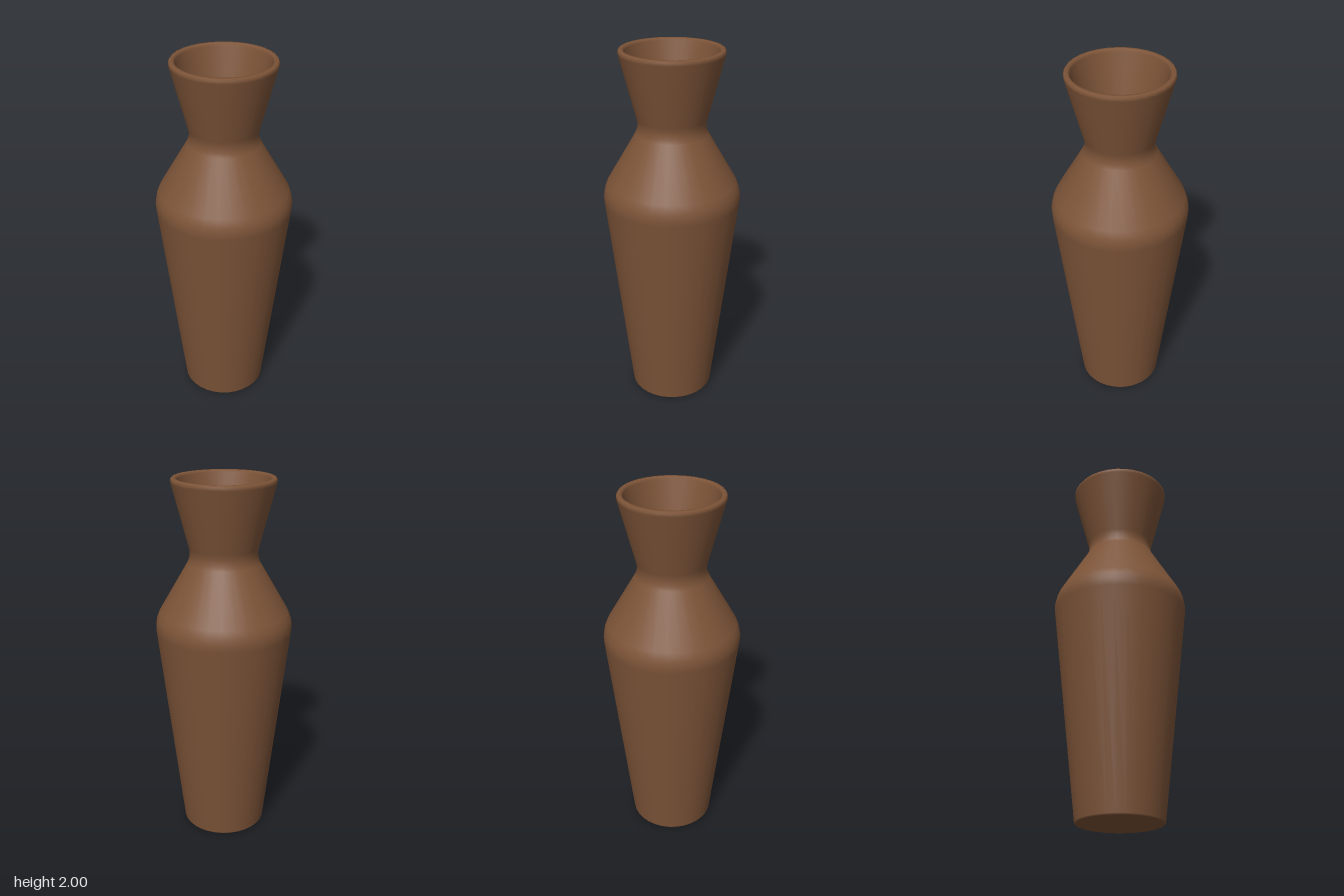
import * as THREE from 'three';

const SIDES = 32;

// Closed profile [radius, height]: base, outer wall, lip, inner wall, floor
const PROFILE = [
  // base and tapered body
  [0, 0], [0.225, 0], [0.232, 0.008], [0.368, 1.18],
  // rounded shoulder
  [0.37, 1.215], [0.364, 1.25], [0.348, 1.29],
  // neck
  [0.194, 1.555], [0.184, 1.58], [0.18, 1.61], [0.186, 1.64],
  // flared lip
  [0.273, 1.975], [0.274, 1.99], [0.267, 2], [0.25, 2], [0.242, 1.987],
  // inside of the neck
  [0.154, 1.64], [0.147, 1.61], [0.153, 1.58], [0.163, 1.555],
  // inside of the body and floor
  [0.317, 1.285], [0.334, 1.245], [0.337, 1.19], [0.2, 0.04], [0, 0.04],
];

export function createModel() {
  const group = new THREE.Group();
  group.name = 'vase';

  const points = PROFILE.map(([r, y]) => new THREE.Vector2(r, y));
  const clay = new THREE.MeshStandardMaterial({ color: 0x7d5438 });
  const body = new THREE.Mesh(new THREE.LatheGeometry(points, SIDES), clay);
  body.name = 'vaseBody';
  group.add(body);

  return group;
}
